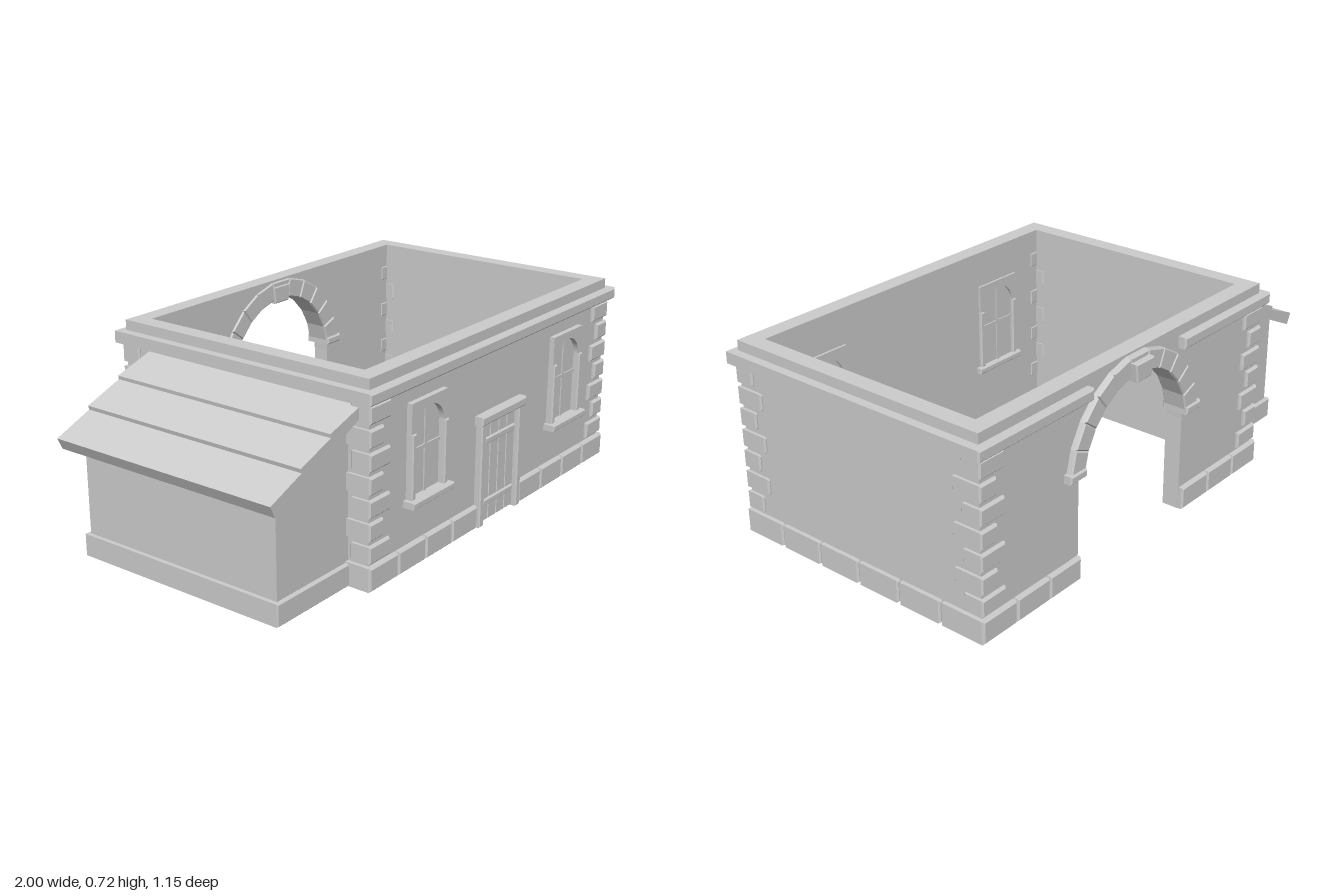
import * as THREE from 'three';

const stone = new THREE.MeshStandardMaterial({ color: 0xcccccc });
stone.name = 'grey stone';

const CX = 0.202;                       // middle of the main building
const OUT_X = 0.763, OUT_Z = 0.53;      // wall outer half sizes
const IN_X = 0.70, IN_Z = 0.465;        // wall inner half sizes
const TOP = 0.723;

export function createModel() {
  const model = new THREE.Group();
  model.name = 'building';

  const group = (name) => {
    const g = new THREE.Group();
    g.name = name;
    model.add(g);
    return g;
  };
  const add = (parent, name, geometry) => {
    const m = new THREE.Mesh(geometry, stone);
    m.name = name;
    parent.add(m);
    return m;
  };
  // Plain box from its limits
  const box = (parent, name, x0, x1, y0, y1, z0, z1) => {
    const m = add(parent, name, new THREE.BoxGeometry(x1 - x0, y1 - y0, z1 - z0));
    m.position.set((x0 + x1) / 2, (y0 + y1) / 2, (z0 + z1) / 2);
    return m;
  };
  const outline = (pts) => new THREE.Shape(pts.map(([x, y]) => new THREE.Vector2(x, y)));
  // Extrusion between two z values with an optional single chamfer
  const slab = (parent, name, shape, z0, z1, b = 0) => {
    const geo = new THREE.ExtrudeGeometry(shape, {
      depth: z1 - z0 - 2 * b, bevelEnabled: b > 0, bevelThickness: b,
      bevelSize: b, bevelOffset: -b, bevelSegments: 1, curveSegments: 20,
    });
    const m = add(parent, name, geo);
    m.position.z = z0 + b;
    return m;
  };
  // Chamfered block from its limits
  const block = (parent, name, x0, x1, y0, y1, z0, z1, b = 0.006) =>
    slab(parent, name, outline([[x0, y0], [x1, y0], [x1, y1], [x0, y1]]), z0, z1, b);

  // Main walls, open at top and bottom
  const walls = group('walls');
  box(walls, 'frontWall', CX - OUT_X, CX + OUT_X, 0, TOP, IN_Z, OUT_Z);
  box(walls, 'rightWall', CX + IN_X, CX + OUT_X, 0, TOP, -IN_Z, IN_Z);
  box(walls, 'leftWall', CX - OUT_X, CX - IN_X, 0, TOP, -IN_Z, IN_Z);

  // Back wall with a round-headed opening
  const ARCH_Y = 0.36, ARCH_R = 0.29;
  const back = new THREE.Shape();
  back.moveTo(CX - OUT_X, 0);
  back.lineTo(CX - ARCH_R, 0);
  back.lineTo(CX - ARCH_R, ARCH_Y);
  back.absarc(CX, ARCH_Y, ARCH_R, Math.PI, 0, true);
  back.lineTo(CX + ARCH_R, 0);
  back.lineTo(CX + OUT_X, 0);
  back.lineTo(CX + OUT_X, TOP);
  back.lineTo(CX - OUT_X, TOP);
  slab(walls, 'backWall', back, -OUT_Z, -IN_Z);

  // Arch stones, keystone and springers
  const arch = group('arch');
  const wedge = (name, a0, a1, r0, r1, z0, z1) => {
    const p = (a, r) => [CX + r * Math.sin(a), ARCH_Y + r * Math.cos(a)];
    slab(arch, name, outline([p(a0, r0), p(a0, r1), p(a1, r1), p(a1, r0)].reverse()), z0, z1, 0.005);
  };
  const deg = Math.PI / 180;
  wedge('crownStone', -8 * deg, 8 * deg, 0.285, 0.358, -0.553, -0.459);
  for (const s of [-1, 1]) {
    for (let i = 0; i < 5; i++) {
      const a = (8 + i * 15) * deg, b = (23 + i * 15) * deg;
      wedge('archStone', s > 0 ? a : -b, s > 0 ? b : -a, 0.285, 0.358, -0.553, -0.459);
    }
    const xa = CX + s * 0.28, xb = CX + s * 0.365;
    block(arch, 'springer', Math.min(xa, xb), Math.max(xa, xb), 0.385, 0.416, -0.56, -0.453);
  }
  slab(arch, 'keystone', outline([[CX - 0.04, 0.63], [CX + 0.04, 0.63],
    [CX + 0.05, 0.697], [CX - 0.05, 0.697]]), -0.575, -0.455, 0.005);

  // Cornice, broken at the back by the arch
  const cornice = group('cornice');
  const c0 = CX - 0.795, c1 = CX + 0.795;
  block(cornice, 'corniceFront', c0, c1, 0.643, 0.686, 0.50, 0.56);
  for (const [x0, x1] of [[c0, c0 + 0.06], [c1 - 0.06, c1]])
    block(cornice, 'corniceSide', x0, x1, 0.643, 0.686, -0.56, 0.56);
  for (const [x0, x1] of [[c0, -0.05], [0.45, c1]])
    block(cornice, 'corniceBack', x0, x1, 0.643, 0.686, -0.56, -0.50);

  // Plinth stones, with gaps at the door and arch
  const plinth = group('plinth');
  const BX = 0.778, BZ = 0.549, H = 0.085;
  const rowX = (x0, x1, n, z0, z1) => {
    const w = (x1 - x0) / n;
    for (let i = 0; i < n; i++)
      block(plinth, 'plinthStone', x0 + i * w + 0.002, x0 + (i + 1) * w - 0.002, 0, H, z0, z1);
  };
  rowX(CX - BX, 0.063, 4, 0.475, BZ);
  rowX(0.343, CX + BX, 4, 0.475, BZ);
  rowX(CX - BX, CX - ARCH_R, 3, -BZ, -0.475);
  rowX(CX + ARCH_R, CX + BX, 3, -BZ, -0.475);
  const pitch = 2 * BZ / 6;
  for (let i = 0; i < 6; i++) {
    const z0 = -BZ + i * pitch + 0.002, z1 = z0 + pitch - 0.004;
    block(plinth, 'plinthStone', CX + 0.71, CX + BX, 0, H, z0, z1);
    block(plinth, 'plinthStone', CX - BX, CX - 0.71, 0, H, z0, z1);
  }

  // Corner stones, long and short in turn
  const quoins = group('cornerStones');
  for (const sx of [-1, 1]) for (const sz of [-1, 1]) for (let i = 0; i < 7; i++) {
    const [lx, lz] = i % 2 ? [0.077, 0.117] : [0.113, 0.081];
    const xs = [CX + sx * 0.773, CX + sx * (0.773 - lx)].sort((a, b) => a - b);
    const zs = [sz * 0.543, sz * (0.543 - lz)].sort((a, b) => a - b);
    const y = 0.095 + i * 0.0797;
    block(quoins, 'cornerStone', xs[0], xs[1], y, y + 0.062, zs[0], zs[1]);
  }

  // Arched windows, framed on both faces of the wall
  for (const x of [-0.252, 0.658]) {
    const win = group('window');
    const frame = outline([[x - 0.104, 0.245], [x + 0.104, 0.245], [x + 0.104, 0.586], [x - 0.104, 0.586]]);
    const hole = new THREE.Path();
    hole.moveTo(x - 0.084, 0.25);
    hole.lineTo(x - 0.084, 0.475);
    hole.absarc(x, 0.475, 0.084, Math.PI, 0, true);
    hole.lineTo(x + 0.084, 0.25);
    frame.holes.push(hole);
    slab(win, 'outerSurround', frame, 0.525, 0.55);
    slab(win, 'innerSurround', frame, 0.456, 0.47);
    box(win, 'mullion', x - 0.006, x + 0.006, 0.25, 0.557, 0.46, 0.535);
    box(win, 'transom', x - 0.084, x + 0.084, 0.405, 0.417, 0.46, 0.535);
    for (const s of [-1, 1])
      block(win, 'windowJamb', x + s * 0.094 - 0.011, x + s * 0.094 + 0.011, 0.25, 0.48, 0.452, 0.557, 0.004);
    block(win, 'sill', x - 0.121, x + 0.121, 0.226, 0.25, 0.443, 0.575, 0.004);
  }

  // Plank door with posts and lintel
  const door = group('door');
  for (let i = 0; i < 4; i++) {
    const px = 0.093 + i * 0.0545;
    block(door, 'plank', px, px + 0.0545, 0.004, 0.388, 0.51, 0.538, 0.003);
  }
  for (const y of [0.066, 0.302])
    block(door, 'crossBar', 0.105, 0.301, y, y + 0.024, 0.53, 0.546, 0.004);
  for (const px of [0.065, 0.311])
    block(door, 'doorPost', px, px + 0.028, 0, 0.39, 0.50, 0.556, 0.004);
  block(door, 'lintel', 0.055, 0.35, 0.386, 0.421, 0.48, 0.563);

  // Lean-to shed, hollow and open below
  const shed = group('leanTo');
  const X0 = -0.92, X1 = CX - OUT_X, Z0 = -0.375, Z1 = 0.448, T = 0.05;
  const gable = outline([[X0, 0], [X1, 0], [X1, 0.60], [X0, 0.435]]);
  slab(shed, 'shedBackWall', gable, Z0, Z0 + T);
  slab(shed, 'shedFrontWall', gable, Z1 - T, Z1);
  box(shed, 'shedSideWall', X0, X0 + T, 0, 0.435, Z0 + T, Z1 - T);
  block(shed, 'shedPlinthSide', X0 - 0.015, X0 + T, 0, 0.08, Z0 - 0.015, Z1 + 0.015, 0.004);
  block(shed, 'shedPlinthBack', X0 - 0.015, X1, 0, 0.08, Z0 - 0.015, Z0 + T, 0.004);
  block(shed, 'shedPlinthFront', X0 - 0.015, X1, 0, 0.08, Z1 - T, Z1 + 0.015, 0.004);

  // Three overlapping roof boards
  const boards = [
    [[-0.98, 0.396], [-0.84, 0.461], [-0.84, 0.503], [-1.0, 0.438]],
    [[-0.845, 0.459], [-0.70, 0.526], [-0.70, 0.571], [-0.857, 0.512]],
    [[-0.705, 0.523], [-0.562, 0.589], [-0.562, 0.628], [-0.714, 0.580]],
  ];
  for (const pts of boards) slab(shed, 'roofBoard', outline(pts), -0.42, 0.497);

  return model;
}
